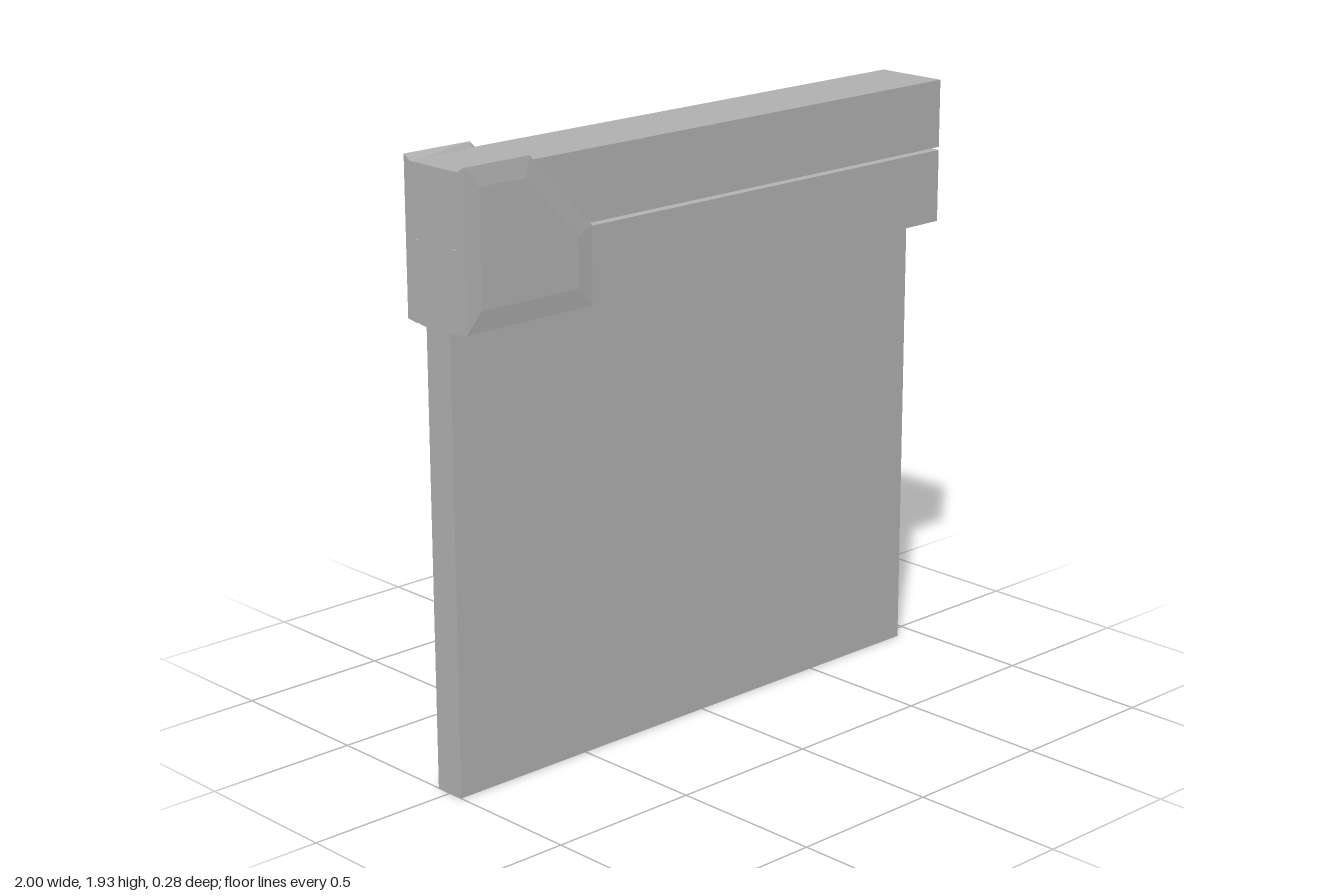
import * as THREE from 'three';
import { ConvexGeometry } from 'three/addons/geometries/ConvexGeometry.js';

export function createModel() {
  const model = new THREE.Group();
  model.name = 'panelWithHeader';
  const grey = new THREE.MeshStandardMaterial({ color: 0xb0b0b0 });
  grey.name = 'plain grey';

  const add = (name, geometry) => {
    const mesh = new THREE.Mesh(geometry, grey);
    mesh.name = name;
    model.add(mesh);
    return mesh;
  };
  const hull = (points) => new ConvexGeometry(points.map((p) => new THREE.Vector3(...p)));

  // Rectangle of corners at height y
  const rect = (y, x1, z0, z1) =>
    [[-1, y, z0], [x1, y, z0], [x1, y, z1], [-1, y, z1]];
  const outer = (y) => rect(y, 1, -0.129, 0.119);
  const inner = (y) => rect(y, 0.93, -0.053, 0.053);

  // Thin upright panel
  add('panel', new THREE.BoxGeometry(1.925, 1.44, 0.105)).position.set(-0.0375, 0.72, 0);

  // Two stacked beams, their meeting faces sloping slightly to leave a narrow seam
  add('lowerBeam', hull([...inner(1.436), ...outer(1.448), ...outer(1.684), ...inner(1.69)]));
  add('upperBeam', hull([...inner(1.688), ...outer(1.694), ...outer(1.914)]));

  // Bevelled corner plates on both faces of the beams
  const edge = [[-1, 1.447], [-0.522, 1.447], [-0.522, 1.69], [-0.757, 1.931], [-1, 1.931]];
  const face = [[-0.95, 1.51], [-0.58, 1.51], [-0.58, 1.665], [-0.78, 1.87], [-0.95, 1.87]];
  const root = [[-1, 1.44, 0.09], [-0.522, 1.44, 0.09], [-0.522, 1.69, 0.09],
    [-0.757, 1.912, 0.118], [-1, 1.912, 0.1]];
  for (const [name, side] of [['frontCornerPlate', 1], ['backCornerPlate', -1]]) {
    const z = (d) => side * d - 0.004;
    add(name, hull([
      ...root.map(([x, y, d]) => [x, y, z(d)]),
      ...edge.map(([x, y]) => [x, y, z(0.132)]),
      ...face.map(([x, y]) => [x, y, z(0.139)]),
    ]));
  }
  return model;
}
